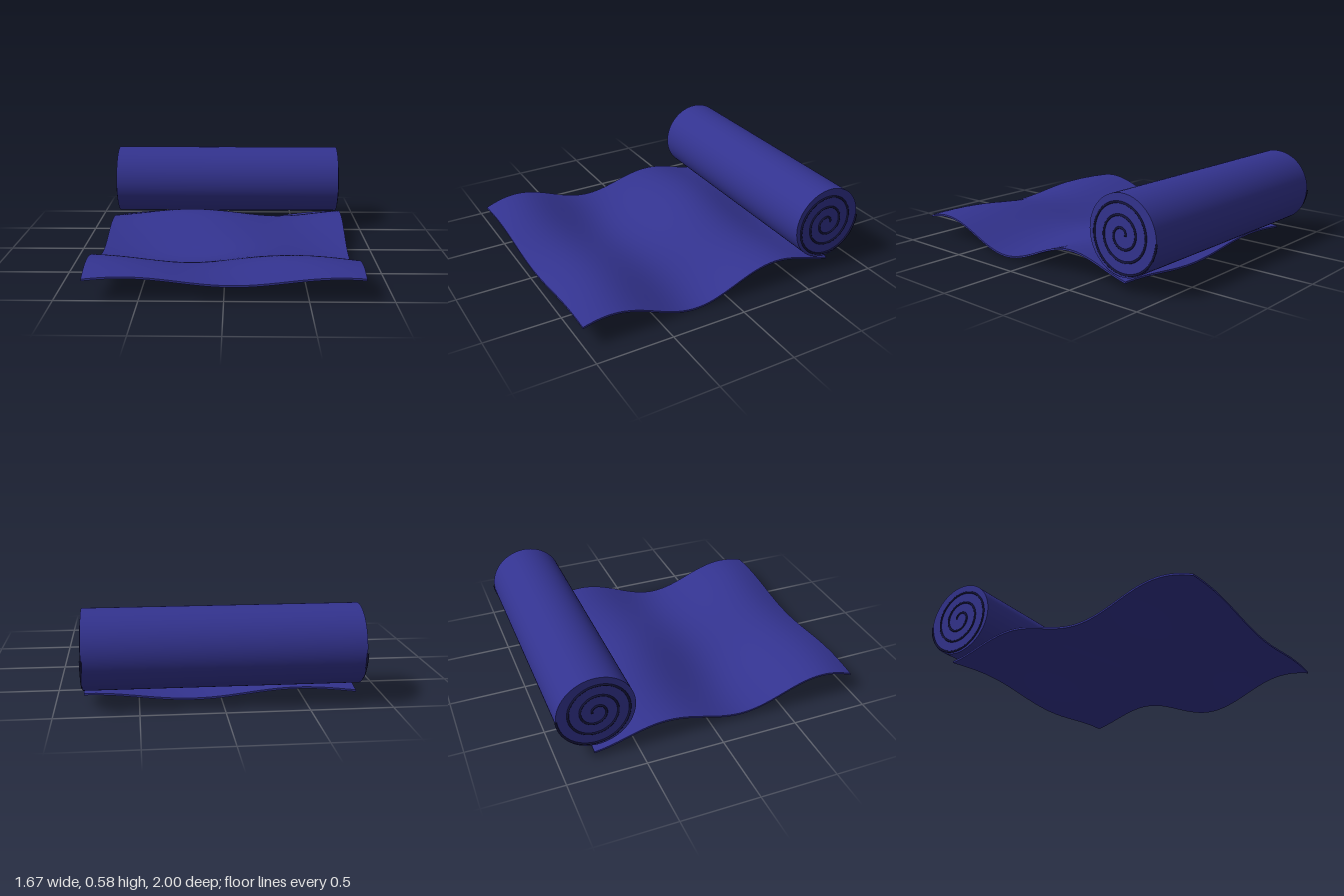
import * as THREE from 'three';

const WIDTH = 1.66;
const ROLL = { y: 0.339, z: -0.749, radius: 0.245 };

// Height of the unrolled cloth: long waves front to back plus a diagonal ripple
function clothHeight(x, z) {
  const wave = 0.0635 * Math.cos((2 * Math.PI * (z - 0.79)) / 1.1);
  const ripple = -0.025 * Math.cos(4.9 * (x - 0.05) - 3.2 * (z - 1));
  return 0.0975 + wave + ripple;
}

// Spiral seam seen on an end of the roll: three turns, ending at the rear
class SpiralCurve extends THREE.Curve {
  constructor(x) {
    super();
    this.x = x;
  }
  getPoint(t, target = new THREE.Vector3()) {
    const angle = t * 6 * Math.PI;
    const r = 0.025 + 0.22 * t;
    return target.set(this.x, ROLL.y + r * Math.sin(angle), ROLL.z - r * Math.cos(angle));
  }
}

export function createModel() {
  const model = new THREE.Group();
  model.name = 'rolledMat';

  const cloth = new THREE.MeshStandardMaterial({ color: 0x33338f });
  cloth.name = 'indigo cloth';
  const seam = new THREE.MeshStandardMaterial({ color: 0x14143a });
  seam.name = 'dark seam';

  const add = (name, geometry, material) => {
    const mesh = new THREE.Mesh(geometry, material);
    mesh.name = name;
    model.add(mesh);
    return mesh;
  };

  // Unrolled part: a thin slab bent by the wave rule
  const front = 1, back = -0.775;
  const sheet = new THREE.BoxGeometry(WIDTH, 0.012, front - back, 64, 1, 72);
  sheet.translate(0, 0, (front + back) / 2);
  const p = sheet.attributes.position;
  for (let i = 0; i < p.count; i++) {
    p.setY(i, p.getY(i) + clothHeight(p.getX(i), p.getZ(i)));
  }
  sheet.computeVertexNormals();
  add('unrolledSheet', sheet, cloth);

  // Rolled part lying across the back
  const roll = new THREE.CylinderGeometry(ROLL.radius, ROLL.radius, WIDTH, 72);
  roll.rotateZ(Math.PI / 2);
  roll.translate(0, ROLL.y, ROLL.z);
  add('roll', roll, cloth);

  // Spiral seams on both ends
  for (const [name, side] of [['leftSpiral', 1], ['rightSpiral', -1]]) {
    const spiral = new THREE.TubeGeometry(new SpiralCurve((side * WIDTH) / 2), 160, 0.007, 8);
    add(name, spiral, seam);
  }

  return model;
}
